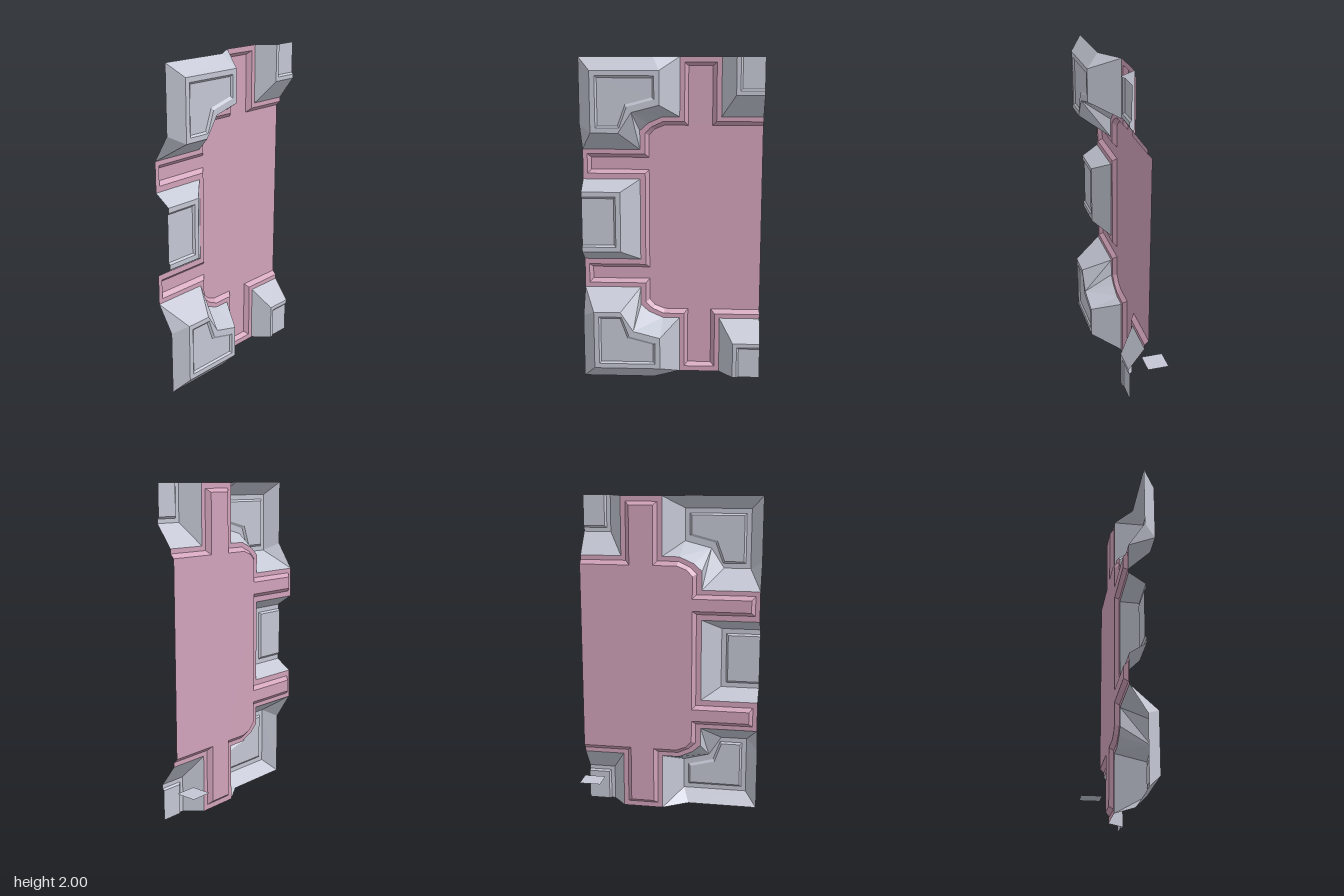
import * as THREE from 'three';

const pink = new THREE.MeshStandardMaterial({ name: 'dustyPink', color: 0xd2a3bb, side: THREE.DoubleSide });
const grey = new THREE.MeshStandardMaterial({ name: 'coolGrey', color: 0xc4c7d4, side: THREE.DoubleSide });

// Heights along x
const RIM = -0.01, FLOOR = -0.035, MID = 0.09, HIGH = 0.165, INSET = 0.01;

// A profile is a list of [z, y]; lift gives it a height along x
const lift = (pts, x) => pts.map(([z, y]) => new THREE.Vector3(x, y, z));
const flipY = (pts) => pts.map(([z, y]) => [z, 2 - y]);

// Collects faces, all turned outward (+x), into one flat-shaded mesh
class Sheet {
  constructor() { this.p = []; }
  tri(a, b, c) {
    const n = b.clone().sub(a).cross(c.clone().sub(a));
    for (const v of n.x < 0 ? [a, c, b] : [a, b, c]) this.p.push(v.x, v.y, v.z);
  }
  face(...v) {
    for (let i = 1; i < v.length - 1; i++) this.tri(v[0], v[i], v[i + 1]);
  }
  strip(a, b, closed = false) {
    const n = a.length;
    for (let i = 0; i < (closed ? n : n - 1); i++) {
      const j = (i + 1) % n;
      this.face(a[i], a[j], b[j], b[i]);
    }
  }
  cap(v) {
    const flat = v.map((q) => new THREE.Vector2(q.z, q.y));
    for (const [a, b, c] of THREE.ShapeUtils.triangulateShape(flat, [])) this.tri(v[a], v[b], v[c]);
  }
  mesh(name, material) {
    const g = new THREE.BufferGeometry();
    g.setAttribute('position', new THREE.Float32BufferAttribute(this.p, 3));
    g.computeVertexNormals();
    const m = new THREE.Mesh(g, material);
    m.name = name;
    return m;
  }
}

// Flat top with a shallow recessed panel
function recessedTop(s, top, edge, floor, x, closed) {
  s.strip(lift(top, x), lift(edge, x), closed);
  s.strip(lift(edge, x), lift(floor, x - INSET), closed);
  s.cap(lift(floor, x - INSET));
}

// Pink pan: rim, bevel and sunken floor, each outline mirrored about y = 1
function pan() {
  const full = (half) => [...half, ...flipY(half).reverse()];
  const rim = full([[-0.555, 0.36], [-0.3, 0.36], [-0.3, 0], [-0.045, 0], [-0.045, 0.36], [0.06, 0.36],
    [0.15, 0.4], [0.2, 0.445], [0.2, 0.56], [0.555, 0.56], [0.555, 0.745], [0.2, 0.745]]);
  const lip = full([[-0.555, 0.388], [-0.27, 0.388], [-0.27, 0.033], [-0.075, 0.033], [-0.075, 0.388], [0.055, 0.388],
    [0.125, 0.42], [0.168, 0.46], [0.168, 0.588], [0.527, 0.588], [0.527, 0.71], [0.168, 0.71]]);
  const floor = full([[-0.555, 0.413], [-0.245, 0.413], [-0.245, 0.055], [-0.098, 0.055], [-0.098, 0.413], [0.05, 0.413],
    [0.11, 0.437], [0.145, 0.475], [0.145, 0.612], [0.505, 0.612], [0.505, 0.687], [0.145, 0.687]]);
  const s = new Sheet();
  s.strip(lift(rim, RIM), lift(lip, RIM));
  s.strip(lift(lip, RIM), lift(floor, FLOOR));
  s.cap(lift(floor, FLOOR));
  return s.mesh('sunkenPan', pink);
}

// Tall block with a concave inner corner and chamfered outer edges
function tallBlock(name, f) {
  const s = new Sheet();
  const top = f([[0.48, 0.445], [0.315, 0.445], [0.235, 0.323], [0.07, 0.28], [0.07, 0.08], [0.48, 0.08]]);
  const edge = f([[0.45, 0.415], [0.308, 0.415], [0.262, 0.29], [0.1, 0.247], [0.1, 0.11], [0.45, 0.11]]);
  const floor = f([[0.438, 0.403], [0.318, 0.403], [0.272, 0.277], [0.112, 0.235], [0.112, 0.122], [0.438, 0.122]]);
  recessedTop(s, top, edge, floor, HIGH, true);
  const t = lift(top, HIGH);
  const [a0, a, b, c, d, e, e0] = lift(f([[0.555, 0.56], [0.2, 0.56], [0.2, 0.445], [0.15, 0.4],
    [0.06, 0.36], [-0.045, 0.36], [-0.045, 0]]), RIM);
  const [g, k, h] = lift(f([[0.555, 0.4], [0.555, 0], [0.11, 0]]), MID);
  // Sloping sides
  s.face(a0, a, t[1], t[0]);
  s.face(a, b, t[2], t[1]);
  s.face(b, c, t[2]);
  s.face(c, d, t[2]);
  s.face(d, e, t[3], t[2]);
  s.face(e, e0, t[4], t[3]);
  // Outer chamfers
  s.face(e0, h, t[4]);
  s.face(h, k, t[5], t[4]);
  s.face(k, g, t[0], t[5]);
  s.face(g, a0, t[0]);
  return s.mesh(name, grey);
}

// Lower block that is cut off at the border of the panel
function lowBlock(name, base, top, edge, floor) {
  const s = new Sheet();
  s.strip(lift(base, RIM), lift(top, MID));
  recessedTop(s, top, edge, floor, MID, false);
  return s.mesh(name, grey);
}

export function createModel() {
  const group = new THREE.Group();
  group.name = 'wallPanel';
  group.add(pan());

  for (const [label, f] of [['lower', (p) => p], ['upper', flipY]]) {
    group.add(tallBlock(label + 'TallBlock', f));
    // Corner block: an L-shaped run from the z border to the y border
    const corner = (z, y) => f([[-0.555, y], [z, y], [z, 0]]);
    // Closing corner for the panel floor
    const floor = f([[-0.555, 0.188], [-0.422, 0.188], [-0.422, 0], [-0.555, 0]]);
    const s = new Sheet();
    s.strip(lift(corner(-0.3, 0.36), RIM), lift(corner(-0.385, 0.225), MID));
    s.strip(lift(corner(-0.385, 0.225), MID), lift(corner(-0.41, 0.2), MID));
    s.strip(lift(corner(-0.41, 0.2), MID), lift(corner(-0.422, 0.188), MID - INSET));
    s.cap(lift(floor, MID - INSET));
    group.add(s.mesh(label + 'CornerBlock', grey));
  }

  // Middle block, open toward the +z border
  const run = (z, m) => [[0.555, 1 - m], [z, 1 - m], [z, 1 + m], [0.555, 1 + m]];
  group.add(lowBlock('middleBlock', run(0.2, 0.255), run(0.315, 0.188), run(0.345, 0.158), run(0.357, 0.146)));

  // Thin horizontal flap behind the lower corner
  const flap = new THREE.Mesh(new THREE.PlaneGeometry(0.133, 0.135).rotateX(-Math.PI / 2), grey);
  flap.name = 'rearFlap';
  flap.position.set(-0.1015, 0.2, -0.4875);
  group.add(flap);
  return group;
}
